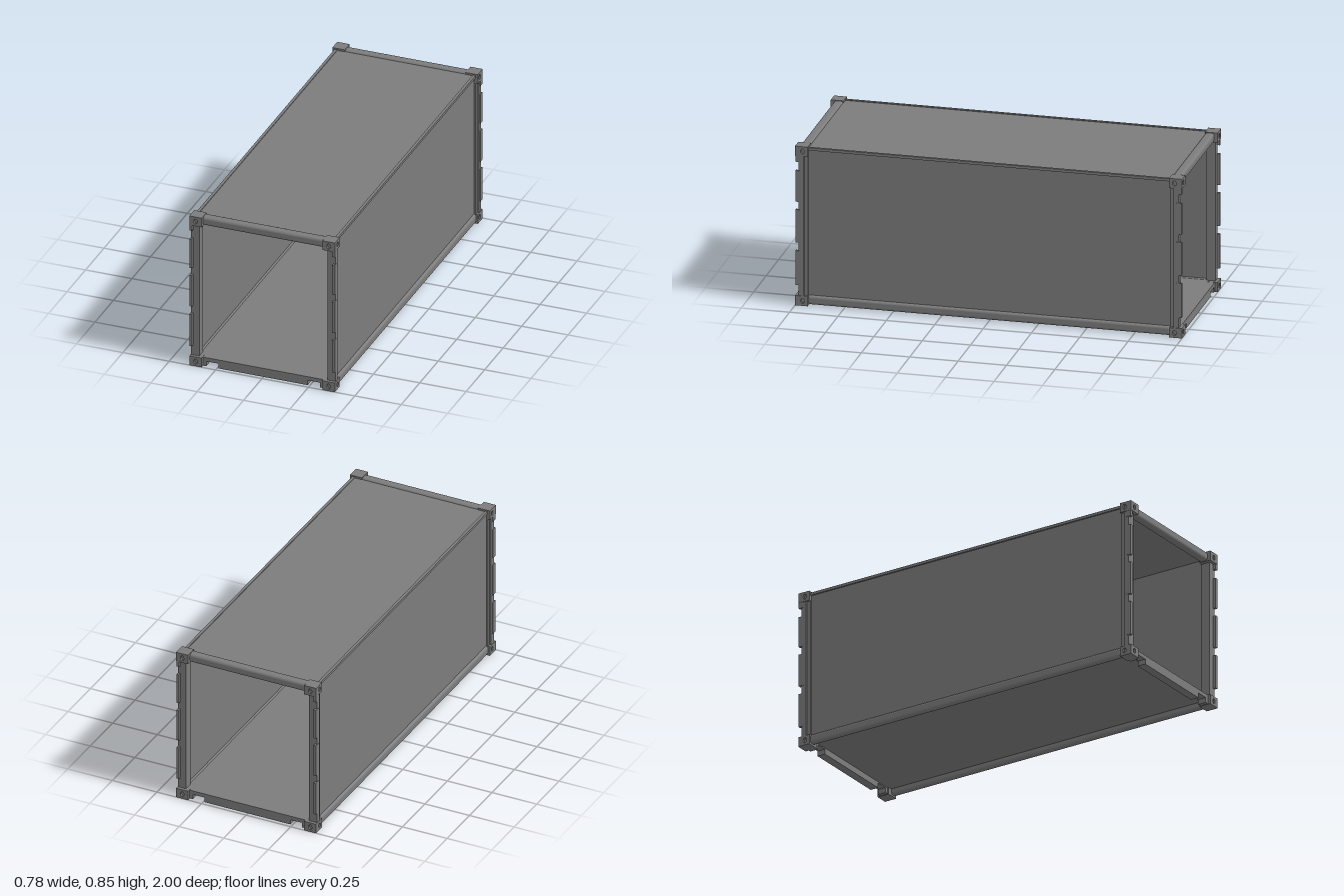
import * as THREE from 'three';
import { RoundedBoxGeometry } from 'three/addons/geometries/RoundedBoxGeometry.js';

const material = new THREE.MeshStandardMaterial({ color: 0x7c7c7c });

// Box given by its low and high limits on each axis, with optional rounded edges
function box(name, x0, x1, y0, y1, z0, z1, radius = 0) {
  const size = [Math.abs(x1 - x0), y1 - y0, Math.abs(z1 - z0)];
  const geometry = radius ? new RoundedBoxGeometry(...size, 3, radius) : new THREE.BoxGeometry(...size);
  const mesh = new THREE.Mesh(geometry, material);
  mesh.position.set((x0 + x1) / 2, (y0 + y1) / 2, (z0 + z1) / 2);
  mesh.name = name;
  return mesh;
}

// Flat plate with an oval opening, centred on the origin and facing z
function holedPlate(w, h, depth) {
  const shape = new THREE.Shape();
  shape.moveTo(-w / 2, -h / 2);
  shape.lineTo(w / 2, -h / 2);
  shape.lineTo(w / 2, h / 2);
  shape.lineTo(-w / 2, h / 2);
  shape.closePath();
  const hole = new THREE.Path();
  hole.absellipse(0, 0, 0.01, 0.014, 0, Math.PI * 2, true);
  shape.holes.push(hole);
  const geometry = new THREE.ExtrudeGeometry(shape, { depth, bevelEnabled: false, curveSegments: 5 });
  return geometry.translate(0, 0, -depth / 2);
}

// Corner block: solid core with pierced plates on its two upright outer faces
function cornerCasting(sx, sy, sz) {
  const W = 0.067, H = 0.052, D = 0.066, T = 0.012;
  const group = new THREE.Group();
  group.name = 'cornerCasting';
  const core = new THREE.Mesh(new THREE.BoxGeometry(W - T, H, D - T), material);
  core.position.set(-sx * T / 2, 0, -sz * T / 2);
  core.name = 'castingCore';
  const end = new THREE.Mesh(holedPlate(W, H, T), material);
  end.position.z = sz * (D - T) / 2;
  end.name = 'castingEndPlate';
  const side = new THREE.Mesh(holedPlate(D - T, H, T).rotateY(Math.PI / 2), material);
  side.position.set(sx * (W - T) / 2, 0, -sz * T / 2);
  side.name = 'castingSidePlate';
  group.add(core, end, side);
  group.position.set(sx * (0.392 - W / 2), sy > 0 ? 0.845 - H / 2 : H / 2, sz * (1 - D / 2));
  return group;
}

// End sill with two fork pockets cut from its lower edge
function endSill(sz) {
  const low = 0.003, high = 0.051, pocket = 0.03;
  const points = [
    [-0.33, low], [-0.306, low], [-0.306, pocket], [-0.24, pocket], [-0.24, low],
    [0.24, low], [0.24, pocket], [0.306, pocket], [0.306, low], [0.33, low],
    [0.33, high], [-0.33, high],
  ].map(([x, y]) => new THREE.Vector2(x, y));
  const depth = 0.045;
  const geometry = new THREE.ExtrudeGeometry(new THREE.Shape(points), { depth, bevelEnabled: false });
  const mesh = new THREE.Mesh(geometry, material);
  mesh.position.z = sz > 0 ? 0.94 : -0.94 - depth;
  mesh.name = 'endSill';
  return mesh;
}

export function createModel() {
  const model = new THREE.Group();
  model.name = 'cargoContainer';

  // Floor and roof panels
  model.add(box('floor', -0.36, 0.36, 0.036, 0.051, -0.945, 0.945));
  model.add(box('roof', -0.37, 0.37, 0.823, 0.834, -0.945, 0.945));

  for (const sx of [-1, 1]) {
    // Side walls with their top and bottom rails
    model.add(box('sideWall', sx * 0.362, sx * 0.372, 0.05, 0.826, -0.94, 0.94));
    model.add(box('topRail', sx * 0.365, sx * 0.38, 0.824, 0.838, -0.94, 0.94));
    model.add(box('bottomRail', sx * 0.347, sx * 0.385, 0.006, 0.055, -0.94, 0.94, 0.015));

    for (const sz of [-1, 1]) {
      // Corner posts with a raised outer strip
      model.add(box('cornerPost', sx * 0.345, sx * 0.38, 0.05, 0.796, sz * 0.935, sz * 0.983));
      model.add(box('postStrip', sx * 0.375, sx * 0.389, 0.05, 0.796, sz * 0.955, sz * 0.983));
      // Hinge plates standing out from the end of the post
      for (const [y0, y1] of [[0.108, 0.29], [0.333, 0.508], [0.55, 0.715], [0.762, 0.795]]) {
        model.add(box('hingePlate', sx * 0.377, sx * 0.391, y0, y1, sz * 0.97, sz * 0.998));
      }
      for (const sy of [-1, 1]) model.add(cornerCasting(sx, sy, sz));
    }
  }

  // Headers and sills at both open ends
  for (const sz of [-1, 1]) {
    model.add(box('endHeader', -0.335, 0.335, 0.795, 0.843, sz * 0.935, sz * 0.983, 0.015));
    model.add(endSill(sz));
  }
  return model;
}
